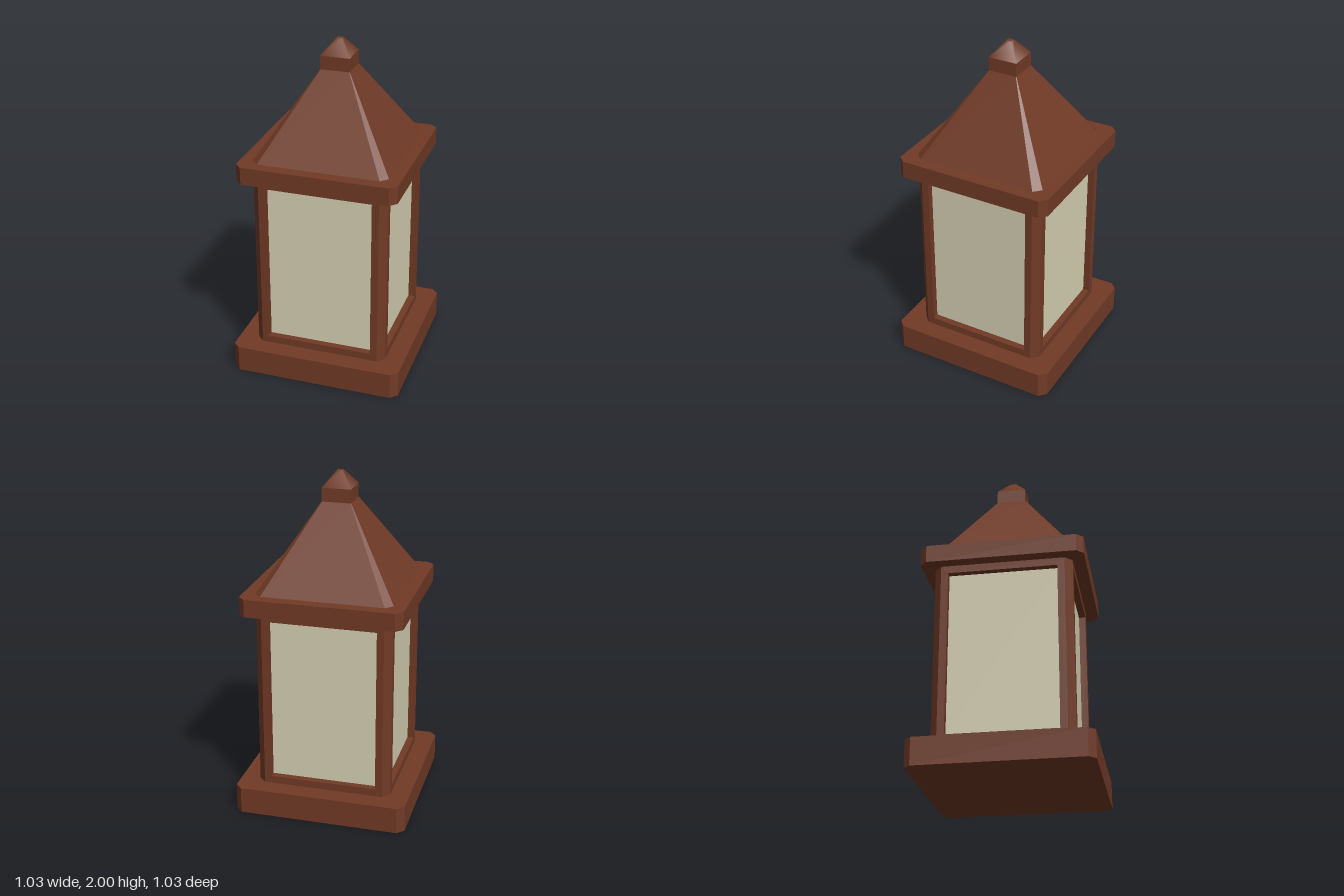
import * as THREE from 'three';

const wood = new THREE.MeshStandardMaterial({ color: 0x703a26 });
wood.name = 'redBrownWood';
const paper = new THREE.MeshStandardMaterial({ color: 0xd6d0b3 });
paper.name = 'creamPane';

// Square outline of half-width h with cut corners of size c, counter-clockwise seen from +z
function outline(h, c) {
  const k = h - c;
  return [[h, -k], [h, k], [k, h], [-k, h], [-h, k], [-h, -k], [-k, -h], [k, -h]];
}

// Flat-faced loft between cut-corner squares, each level is [y, half, cut]
function loft(levels) {
  const pos = [];
  const rings = levels.map(([y, h, c]) => outline(h, c).map(([x, z]) => [x, y, -z]));
  const tri = (a, b, c) => pos.push(...a, ...b, ...c);
  for (let r = 0; r < rings.length - 1; r++) {
    const lo = rings[r], hi = rings[r + 1];
    for (let i = 0; i < 8; i++) {
      const j = (i + 1) % 8;
      tri(lo[i], lo[j], hi[j]);
      tri(lo[i], hi[j], hi[i]);
    }
  }
  const first = rings[0], last = rings[rings.length - 1];
  for (let i = 1; i < 7; i++) {
    tri(first[0], first[i + 1], first[i]);
    tri(last[0], last[i], last[i + 1]);
  }
  const g = new THREE.BufferGeometry();
  g.setAttribute('position', new THREE.Float32BufferAttribute(pos, 3));
  g.computeVertexNormals();
  return g;
}

function add(parent, name, geometry, material) {
  const mesh = new THREE.Mesh(geometry, material);
  mesh.name = name;
  parent.add(mesh);
  return mesh;
}

export function createModel() {
  const group = new THREE.Group();
  group.name = 'lantern';

  // Plinth, eave slab and roof
  add(group, 'base', loft([[0, 0.515, 0.04], [0.16, 0.515, 0.04]]), wood);
  add(group, 'eave', loft([[1.235, 0.475, 0.04], [1.34, 0.475, 0.04]]), wood);
  add(group, 'roof', loft([[1.34, 0.403, 0.042], [1.83, 0.087, 0.003]]), wood);

  // Square finial: neck and softly shaded point
  add(group, 'finialNeck', new THREE.BoxGeometry(0.174, 0.08, 0.174), wood).position.y = 1.87;
  const tip = new THREE.CylinderGeometry(0.016 * Math.SQRT2, 0.087 * Math.SQRT2, 0.09, 4);
  tip.rotateY(Math.PI / 4);
  add(group, 'finialTip', tip, wood).position.y = 1.955;

  // Window frame outline with its opening
  const bottom = 0.16, top = 1.235, inner = 0.36, depth = 0.042;
  const frame = new THREE.Shape([
    [-inner, bottom], [inner, bottom], [inner, top], [-inner, top],
  ].map(p => new THREE.Vector2(...p)));
  frame.holes.push(new THREE.Path([
    [-0.318, 0.205], [-0.318, 1.19], [0.318, 1.19], [0.318, 0.205],
  ].map(p => new THREE.Vector2(...p))));
  const frameGeo = new THREE.ExtrudeGeometry(frame, { depth, bevelEnabled: false });
  frameGeo.translate(0, 0, inner);

  // Triangular corner post that closes two neighbouring frames
  const post = new THREE.Shape([
    [inner, -inner], [inner + depth, -inner], [inner, -inner - depth],
  ].map(p => new THREE.Vector2(...p)));
  const postGeo = new THREE.ExtrudeGeometry(post, { depth: top - bottom, bevelEnabled: false });
  postGeo.rotateX(-Math.PI / 2);
  postGeo.translate(0, bottom, 0);

  const paneGeo = new THREE.BoxGeometry(0.66, 1.01, 0.008);
  paneGeo.translate(0, 0.6975, inner - 0.002);

  // Four identical walls
  for (let i = 0; i < 4; i++) {
    const wall = new THREE.Group();
    wall.name = 'wall' + (i + 1);
    wall.rotation.y = i * Math.PI / 2;
    add(wall, 'windowFrame', frameGeo, wood);
    add(wall, 'cornerPost', postGeo, wood);
    add(wall, 'windowPane', paneGeo, paper);
    group.add(wall);
  }
  return group;
}
